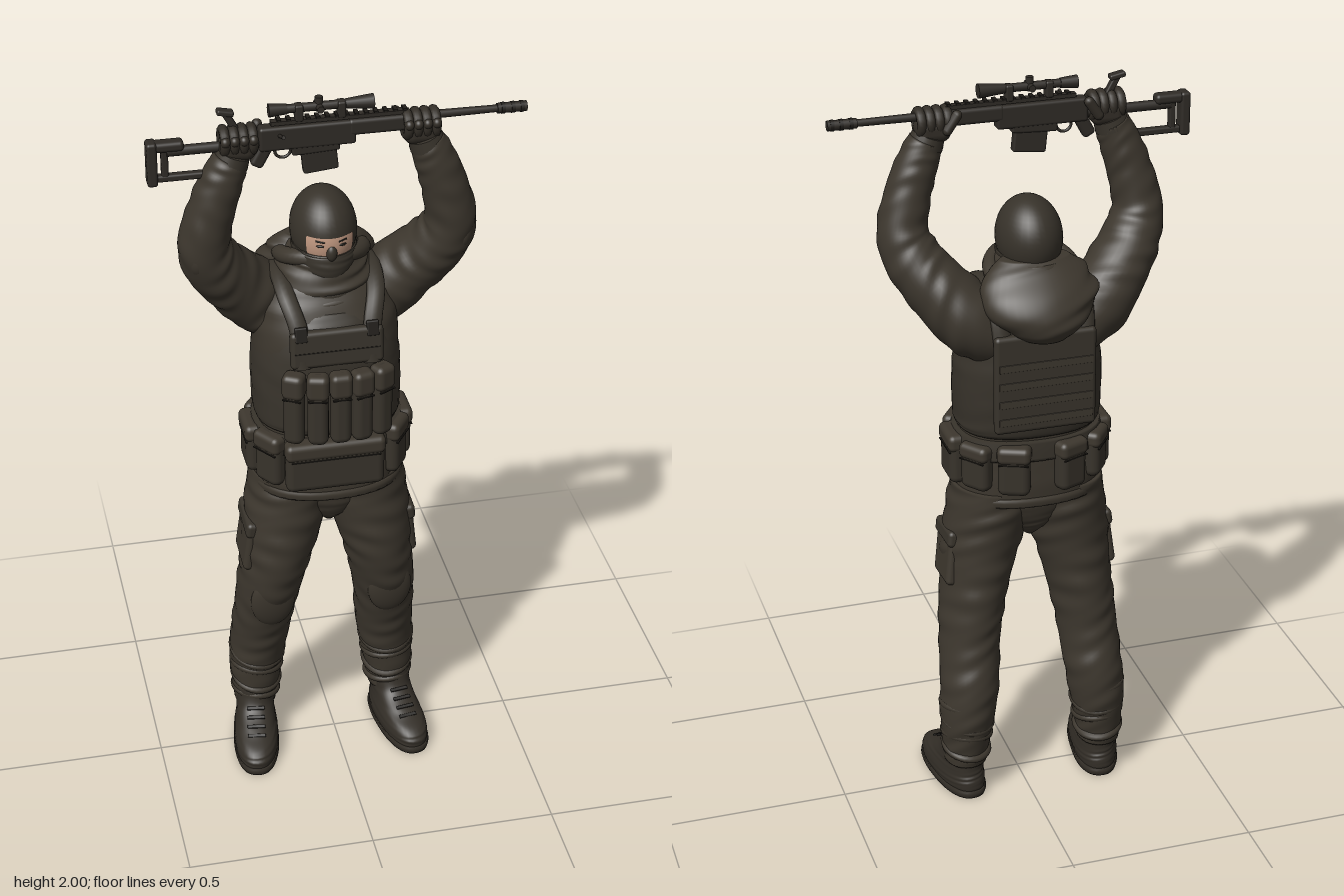
import * as THREE from 'three';
import { RoundedBoxGeometry } from 'three/addons/geometries/RoundedBoxGeometry.js';

const mat = (name, color) => { const m = new THREE.MeshStandardMaterial({ color }); m.name = name; return m; };
const cloth = mat('cloth', 0x3d372e), gear = mat('webbing', 0x38332b), wool = mat('wool', 0x37322a);
const leather = mat('boot leather', 0x332e27), metal = mat('gunmetal', 0x2f2b26), dark = mat('dark trim', 0x1f1c18);
const skin = mat('skin', 0xc39a82);

function add(parent, name, geometry, material, x = 0, y = 0, z = 0, rx = 0, ry = 0, rz = 0) {
  const m = new THREE.Mesh(geometry, material);
  m.name = name;
  m.position.set(x, y, z);
  m.rotation.set(rx, ry, rz);
  parent.add(m);
  return m;
}
const rbox = (w, h, d, r = 0.01) => new RoundedBoxGeometry(w, h, d, 3, Math.min(r, w / 2.1, h / 2.1, d / 2.1));
const box = (w, h, d) => new THREE.BoxGeometry(w, h, d);
const ball = (x, y, z) => new THREE.SphereGeometry(1, 32, 24).scale(x, y, z);
const rod = (r, len, r2 = r) => new THREE.CylinderGeometry(r2, r, len, 16).rotateZ(-Math.PI / 2);

// Smooth skin over sections [x, y, z, radiusX, radiusZ]; fold adds cloth creases, n squares the rings,
// tilt turns the rings square to the path instead of keeping them level
function loft(sections, { fold = 0, freq = 40, n = 2, rows = 48, cols = 40, tilt = false } = {}) {
  const curve = f => new THREE.CatmullRomCurve3(sections.map(f), false, 'catmullrom');
  const path = curve(s => new THREE.Vector3(s[0], s[1], s[2]));
  const size = curve(s => new THREE.Vector3(s[3], s[4], 0));
  const pos = [], idx = [], zAxis = new THREE.Vector3(0, 0, 1);
  const round = v => Math.sign(v) * Math.abs(v) ** (2 / n);
  for (let i = 0; i <= rows; i++) {
    const t = i / rows, c = path.getPoint(t), r = size.getPoint(t);
    const d = tilt ? path.getTangent(t) : new THREE.Vector3(0, 1, 0);
    const u = d.clone().cross(zAxis).normalize(), v = u.clone().cross(d);
    for (let j = 0; j < cols; j++) {
      const a = j / cols * Math.PI * 2;
      const crease = Math.sin(t * freq + 2.2 * Math.sin(a + 0.6) + 1.3 * Math.sin(2 * a + t * 9));
      const k = 1 + fold * crease * (0.6 + 0.6 * Math.sin(3 * a + t * freq * 0.37));
      const p = c.clone().addScaledVector(u, round(Math.cos(a)) * r.x * k).addScaledVector(v, round(Math.sin(a)) * r.y * k);
      pos.push(p.x, p.y, p.z);
      if (i < rows) {
        const q = i * cols + j, w = i * cols + (j + 1) % cols;
        idx.push(q, q + cols, w, w, q + cols, w + cols);
      }
    }
  }
  const last = rows * cols, e0 = pos.length / 3;
  for (const t of [0, 1]) pos.push(...path.getPoint(t).toArray());
  for (let j = 0; j < cols; j++) {
    const k = (j + 1) % cols;
    idx.push(e0, j, k, e0 + 1, last + k, last + j);
  }
  const g = new THREE.BufferGeometry();
  g.setAttribute('position', new THREE.Float32BufferAttribute(pos, 3));
  g.setIndex(idx);
  g.computeVertexNormals();
  return g;
}

// Pouch with flap, facing outward along its own +z
function pouch(parent, name, x, y, z, ry, w, h, d) {
  const g = new THREE.Group();
  g.name = name;
  g.position.set(x, y, z);
  g.rotation.y = ry;
  add(g, 'pouchBody', rbox(w, h, d, 0.02), gear);
  add(g, 'pouchFlap', rbox(w + 0.004, h * 0.34, d + 0.006, 0.016), cloth, 0, h * 0.33, 0.001);
  add(g, 'flapSeam', box(w * 0.9, 0.003, 0.005), dark, 0, h * 0.16, d / 2);
  parent.add(g);
}

// Wide flat strap through points
function strap(parent, name, points, r = 0.012, wide = 2) {
  const path = new THREE.CatmullRomCurve3(points.map(p => new THREE.Vector3(p[0] / wide, p[1], p[2])));
  add(parent, name, new THREE.TubeGeometry(path, 32, r, 10).scale(wide, 1, 1), gear);
}

function buildHead(body) {
  add(body, 'balaclava', ball(0.085, 0.107, 0.107), wool, 0, 1.608, -0.018);
  add(body, 'faceMask', loft([[0, 1.46, -0.01, 0.06, 0.07], [0, 1.49, 0, 0.066, 0.082], [0, 1.53, 0, 0.077, 0.094],
    [0, 1.56, -0.006, 0.083, 0.098], [0, 1.575, -0.012, 0.082, 0.1]], { fold: 0.008 }), wool);
  const face = new THREE.SphereGeometry(1, 28, 10, Math.PI / 2 - 0.76, 1.52, 1.4, 0.47).scale(0.0865, 0.109, 0.109);
  add(body, 'face', face, skin, 0, 1.608, -0.018);
  add(body, 'maskNose', ball(0.014, 0.022, 0.014), wool, 0, 1.584, 0.086);
  for (const s of [-1, 1]) {
    add(body, 'eye', ball(0.01, 0.0035, 0.003), dark, s * 0.029, 1.605, 0.0845, 0, s * 0.38);
    add(body, 'brow', rbox(0.024, 0.004, 0.004, 0.0015), dark, s * 0.029, 1.617, 0.084, 0, s * 0.38, s * 0.12);
  }
}

function buildTorso(body) {
  add(body, 'jacket', loft([[0, 0.9, 0.01, 0.198, 0.152], [0, 1.0, 0.01, 0.198, 0.15], [0, 1.1, 0.01, 0.182, 0.145],
    [0, 1.22, 0, 0.185, 0.155], [0, 1.34, -0.005, 0.188, 0.155], [0, 1.43, -0.02, 0.175, 0.14],
    [0, 1.5, -0.03, 0.12, 0.11]], { fold: 0.012, n: 2.3 }), cloth);
  add(body, 'vest', loft([[0, 1.095, 0.008, 0.188, 0.15], [0, 1.12, 0.006, 0.192, 0.16], [0, 1.22, 0, 0.194, 0.165],
    [0, 1.3, -0.004, 0.186, 0.166], [0, 1.38, -0.01, 0.16, 0.158], [0, 1.43, -0.015, 0.13, 0.135]],
  { fold: 0.004, n: 2.4 }), gear);
  add(body, 'collar', loft([[0, 1.39, -0.025, 0.16, 0.14], [0, 1.46, -0.03, 0.15, 0.135], [0, 1.52, -0.03, 0.115, 0.12],
    [0, 1.565, -0.03, 0.085, 0.1]], { fold: 0.03, freq: 25 }), cloth);
  // Lowered hood, hanging lowest at the back, with a rolled rim
  add(body, 'hood', loft([[0, 1.385, -0.15, 0.06, 0.055], [0, 1.41, -0.14, 0.1, 0.08], [0, 1.45, -0.122, 0.14, 0.1],
    [0, 1.5, -0.1, 0.152, 0.095], [0, 1.545, -0.078, 0.125, 0.07], [0, 1.572, -0.07, 0.09, 0.045]],
  { fold: 0.04, freq: 18, n: 1.85 }), cloth);
  add(body, 'hoodRim', new THREE.TorusGeometry(0.105, 0.022, 14, 48), cloth, 0, 1.528, -0.045, Math.PI / 2 - 0.3);
  add(body, 'scarfFold', new THREE.TorusGeometry(0.09, 0.018, 12, 40), wool, 0, 1.495, 0.0, Math.PI / 2 + 0.35);
  // Chest and back panels
  add(body, 'chestPanel', rbox(0.24, 0.1, 0.03, 0.012), gear, 0, 1.35, 0.146, -0.1);
  add(body, 'chestSeam', box(0.22, 0.003, 0.006), dark, 0, 1.345, 0.16, -0.1);
  add(body, 'backPanel', rbox(0.27, 0.27, 0.03, 0.012), gear, 0, 1.265, -0.157);
  for (let i = 0; i < 4; i++) add(body, 'backWebbing', rbox(0.25, 0.02, 0.004, 0.0015), cloth, 0, 1.165 + i * 0.05, -0.172);
  for (const s of [-1, 1]) {
    strap(body, 'shoulderStrap', [[s * 0.09, 1.3, 0.156], [s * 0.095, 1.4, 0.136], [s * 0.115, 1.47, 0.08],
      [s * 0.12, 1.5, -0.02], [s * 0.115, 1.46, -0.12], [s * 0.11, 1.36, -0.16]]);
    add(body, 'strapBuckle', rbox(0.032, 0.04, 0.012, 0.004), dark, s * 0.092, 1.395, 0.15, -0.25);
  }
  // Magazine pouches fan around the front
  for (let i = -2; i <= 2; i++) {
    const a = i * 0.34;
    pouch(body, 'magazinePouch', i * 0.057, 1.2 - Math.abs(i) * 0.004, 0.196 - 0.008 * i * i, a * 0.75, 0.054, 0.205, 0.045);
  }
}

function buildBelt(body) {
  add(body, 'belt', loft([[0, 1.03, 0.008, 0.203, 0.156], [0, 1.06, 0.008, 0.201, 0.155], [0, 1.085, 0.008, 0.196, 0.153]],
    { n: 2.3, rows: 8 }), gear);
  add(body, 'jacketHem', loft([[0, 0.895, 0.01, 0.2, 0.155], [0, 0.91, 0.01, 0.202, 0.157], [0, 0.92, 0.01, 0.199, 0.153]],
    { n: 2.3, rows: 6 }), cloth);
  pouch(body, 'frontPouch', -0.008, 1.012, 0.162, 0, 0.26, 0.145, 0.045);
  // [angle from front, width, height, depth]
  const ring = [[0.97, 0.085, 0.15, 0.05], [1.57, 0.11, 0.14, 0.045], [2.2, 0.085, 0.13, 0.05], [2.75, 0.085, 0.14, 0.05]];
  for (const s of [-1, 1]) for (const [a, w, h, d] of ring)
    pouch(body, 'beltPouch', s * 0.198 * Math.sin(a), 1.01, 0.008 + 0.158 * Math.cos(a), s * a, w, h, d);
}

function buildArm(body, s) {
  const arm = new THREE.Group();
  arm.name = s > 0 ? 'leftArm' : 'rightArm';
  body.add(arm);
  add(arm, 'sleeve', loft([[s * 0.09, 1.35, -0.045, 0.08, 0.09], [s * 0.165, 1.41, -0.045, 0.092, 0.1],
    [s * 0.235, 1.485, -0.015, 0.083, 0.092], [s * 0.288, 1.555, 0.02, 0.076, 0.082], [s * 0.313, 1.63, 0.045, 0.066, 0.07],
    [s * 0.293, 1.73, 0.056, 0.059, 0.06], [s * 0.265, 1.81, 0.06, 0.053, 0.052], [s * 0.243, 1.86, 0.06, 0.045, 0.044]],
  { fold: 0.028, freq: 60, rows: 80, tilt: true }), cloth);
  add(arm, 'cuff', new THREE.CylinderGeometry(0.042, 0.046, 0.03, 24), gear, s * 0.242, 1.86, 0.06, 0, 0, s * 0.35);
  add(arm, 'elbowPad', ball(0.035, 0.065, 0.06), cloth, s * 0.335, 1.6, 0.045, 0, 0, s * -0.15);
  // Gloved fist wrapped around the weapon
  add(arm, 'palm', rbox(0.09, 0.062, 0.07, 0.025), leather, s * 0.228, 1.888, 0.058);
  for (let i = 0; i < 4; i++) {
    const x = s * (0.192 + i * 0.023);
    add(arm, 'finger', new THREE.TorusGeometry(0.029, 0.012, 10, 24), leather, x, 1.908, 0.06, 0, Math.PI / 2);
    add(arm, 'knuckle', ball(0.012, 0.013, 0.013), leather, x, 1.918, 0.092);
  }
  add(arm, 'thumb', new THREE.CapsuleGeometry(0.013, 0.045, 6, 12), leather, s * 0.185, 1.91, 0.026, 0, 0, s * 0.6);
}

function buildLeg(body, s) {
  const leg = new THREE.Group();
  leg.name = s > 0 ? 'leftLeg' : 'rightLeg';
  body.add(leg);
  add(leg, 'trouserLeg', loft([[0.193, 0.1, -0.058, 0.057, 0.066], [0.192, 0.15, -0.056, 0.064, 0.073], [0.186, 0.25, -0.06, 0.075, 0.086],
    [0.176, 0.35, -0.048, 0.08, 0.096], [0.168, 0.45, -0.02, 0.082, 0.1], [0.156, 0.55, 0, 0.087, 0.115],
    [0.14, 0.65, 0.012, 0.094, 0.124], [0.123, 0.75, 0.014, 0.107, 0.126], [0.105, 0.85, 0.008, 0.11, 0.13],
    [0.098, 0.93, 0.005, 0.105, 0.13]].map(([x, ...r]) => [s * x, ...r]), { fold: 0.024, freq: 75, rows: 96 }), cloth);
  for (let i = 0; i < 4; i++) // bunched cloth above the boot
    add(leg, 'ankleFold', new THREE.TorusGeometry(0.058 + i * 0.003, 0.012, 10, 32).scale(1, 1.14, 1), cloth,
      s * (0.191 - i * 0.002), 0.14 + i * 0.045, -0.057, Math.PI / 2 + (i % 2 ? 0.18 : -0.15), s * 0.12);
  add(leg, 'kneePatch', ball(0.06, 0.09, 0.028), cloth, s * 0.162, 0.53, 0.08, 0.15);
  add(leg, 'cargoPocket', rbox(0.035, 0.15, 0.13, 0.014), cloth, s * 0.214, 0.71, 0.015, 0.08, 0, s * 0.12);
  add(leg, 'pocketFlap', rbox(0.038, 0.045, 0.138, 0.012), gear, s * 0.211, 0.77, 0.019, 0.08, 0, s * 0.12);
  // Boot turned slightly outward
  const boot = new THREE.Group();
  boot.name = 'boot';
  boot.position.x = s * 0.202;
  boot.rotation.y = s * 0.15;
  leg.add(boot);
  add(boot, 'bootUpper', loft([[0, 0.015, 0.025, 0.06, 0.148], [0, 0.04, 0.024, 0.062, 0.148], [0, 0.062, 0.016, 0.059, 0.135],
    [0, 0.085, -0.012, 0.054, 0.104], [0, 0.12, -0.042, 0.052, 0.074], [0, 0.18, -0.052, 0.053, 0.063]],
  { n: 2.3, fold: 0.008 }), leather);
  add(boot, 'sole', loft([[0, 0, 0.025, 0.061, 0.15], [0, 0.012, 0.025, 0.064, 0.153], [0, 0.022, 0.025, 0.062, 0.15]],
    { n: 2.4, rows: 6 }), leather);
  for (let i = 0; i < 4; i++)
    add(boot, 'lace', rbox(0.05, 0.006, 0.01, 0.002), dark, 0, 0.08 + i * 0.014, 0.1 - i * 0.023, 0.55);
}

function buildRifle(root) {
  const g = new THREE.Group();
  g.name = 'rifle';
  g.position.set(0, 1.922, 0.056);
  root.add(g);
  const part = (name, geo, x, y, z = 0, rz = 0, m = metal) => add(g, name, geo, m, x, y, z, 0, 0, rz);
  part('receiver', rbox(0.24, 0.062, 0.038, 0.008), -0.08, -0.018);
  part('magazineWell', rbox(0.12, 0.03, 0.034, 0.006), -0.06, -0.05, 0, 0.05);
  part('handguard', rbox(0.2, 0.042, 0.04, 0.01), 0.12, -0.006);
  part('topRail', box(0.34, 0.01, 0.02), 0.0, 0.02);
  for (let i = 0; i < 14; i++) part('railTooth', box(0.01, 0.006, 0.024), -0.15 + i * 0.024, 0.027, 0, 0, dark);
  part('barrel', rod(0.011, 0.22, 0.009), 0.31, 0.002);
  part('muzzleBrake', rod(0.013, 0.075), 0.433, 0.002);
  for (const x of [0.41, 0.435, 0.458]) part('brakeRing', rod(0.0145, 0.009), x, 0.002, 0, 0, dark);
  part('magazine', rbox(0.088, 0.08, 0.026, 0.006), -0.05, -0.078, 0, 0.1);
  part('triggerGuard', new THREE.TorusGeometry(0.02, 0.004, 8, 20), -0.14, -0.055);
  part('pistolGrip', rbox(0.034, 0.08, 0.03, 0.01), -0.19, -0.055, 0, -0.5);
  part('boltHandle', new THREE.CylinderGeometry(0.005, 0.005, 0.06, 10).rotateX(1.2), -0.15, 0.0, 0.04);
  // Open skeleton stock
  part('stockTube', rod(0.013, 0.25), -0.3, -0.03);
  part('stockLower', rbox(0.14, 0.018, 0.022, 0.006), -0.39, -0.099);
  part('stockStrut', rbox(0.018, 0.08, 0.02, 0.006), -0.43, -0.06);
  part('cheekRest', rbox(0.085, 0.026, 0.036, 0.01), -0.425, -0.014);
  part('buttPlate', rbox(0.026, 0.115, 0.042, 0.008), -0.462, -0.057);
  part('rearLever', rbox(0.018, 0.075, 0.02, 0.005), -0.265, 0.03, 0, 0.5);
  part('leverHead', rbox(0.042, 0.014, 0.026, 0.005), -0.28, 0.059, 0, -0.2);
  // Scope on two mounts
  part('scopeTube', rod(0.011, 0.22), -0.045, 0.053);
  part('scopeFront', rod(0.012, 0.07, 0.019), 0.05, 0.053);
  part('scopeRear', rod(0.017, 0.045, 0.013), -0.152, 0.053);
  part('scopeTurret', new THREE.CylinderGeometry(0.01, 0.01, 0.036, 14), -0.05, 0.06);
  part('sideTurret', new THREE.CylinderGeometry(0.009, 0.009, 0.05, 14).rotateX(Math.PI / 2), -0.05, 0.053);
  for (const x of [-0.1, 0.005]) part('scopeMount', rbox(0.02, 0.042, 0.028, 0.005), x, 0.042);
}

export function createModel() {
  const root = new THREE.Group();
  root.name = 'soldier';
  const body = new THREE.Group();
  body.name = 'body';
  body.position.x = -0.025;
  root.add(body);
  buildHead(body);
  buildTorso(body);
  buildBelt(body);
  add(body, 'trouserSeat', loft([[0, 0.76, 0.008, 0.02, 0.05], [0, 0.8, 0.008, 0.07, 0.09], [0, 0.86, 0.006, 0.15, 0.115],
    [0, 0.94, 0.005, 0.185, 0.125]], { fold: 0.01 }), cloth);
  for (const s of [-1, 1]) {
    buildArm(body, s);
    buildLeg(body, s);
  }
  buildRifle(root);
  return root;
}
